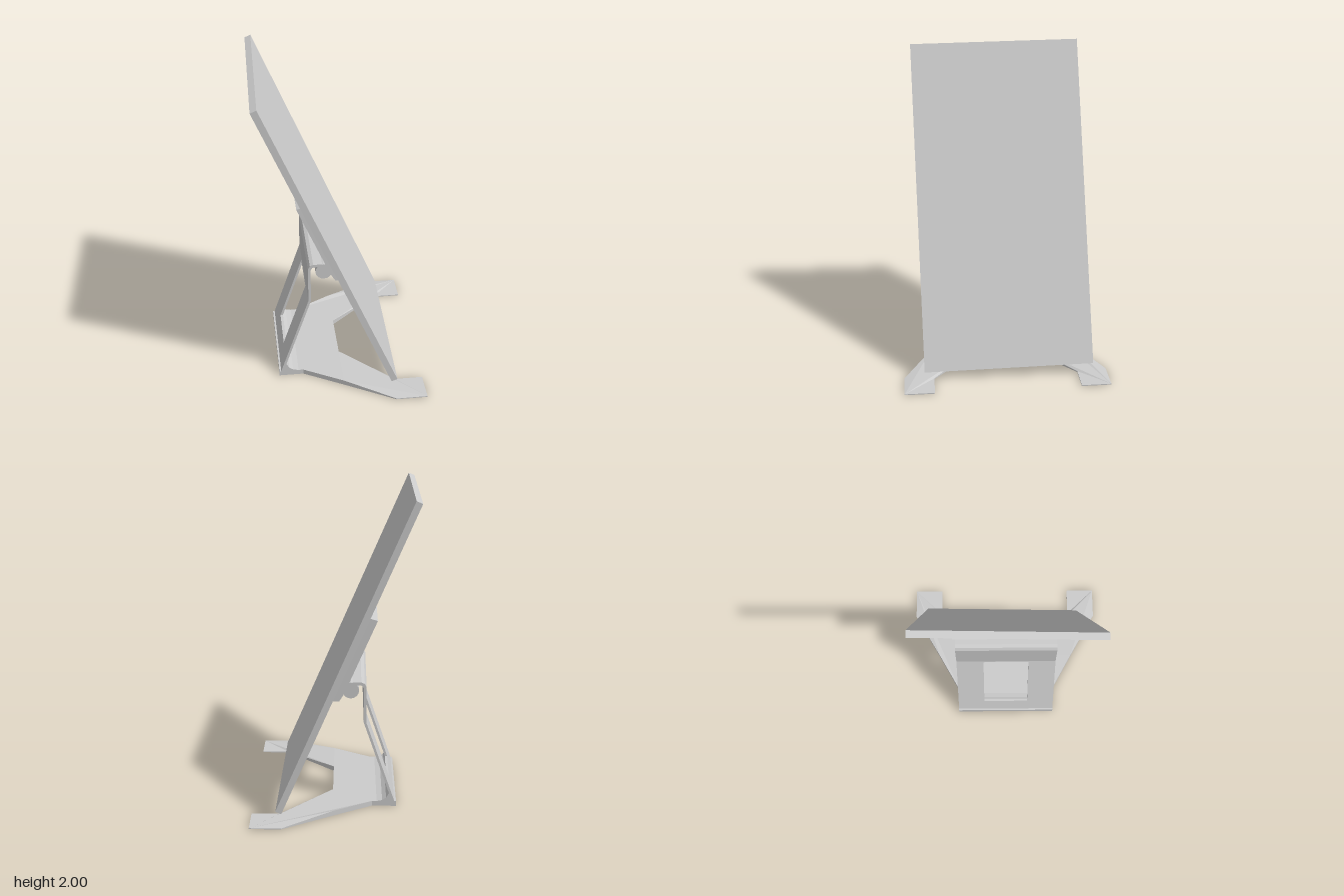
import * as THREE from 'three';

const material = new THREE.MeshStandardMaterial({ color: 0xcccccc, flatShading: true, side: THREE.DoubleSide });

function addMesh(parent, name, geometry) {
  const mesh = new THREE.Mesh(geometry, material);
  mesh.name = name;
  parent.add(mesh);
  return mesh;
}

const toShape = (points) => new THREE.Shape(points.map(([x, y]) => new THREE.Vector2(x, y)));

// Side profile (forward, up) swept across the stand's width
function sweep(points, width) {
  const geometry = new THREE.ExtrudeGeometry(toShape(points), { depth: width, bevelEnabled: false });
  return geometry.translate(0, 0, -width / 2);
}

export function createModel() {
  const model = new THREE.Group();
  model.name = 'displayOnStand';

  // Screen slab: leans back, with a slight roll
  const up = new THREE.Vector3(-0.377, 0.921, 0.103).normalize();
  const across = new THREE.Vector3(0.227, -0.014, 0.974).normalize();
  const normal = new THREE.Vector3().crossVectors(up, across).normalize();
  across.crossVectors(normal, up);
  const screen = addMesh(model, 'screen', new THREE.BoxGeometry(0.04, 2.096, 1.078));
  screen.quaternion.setFromRotationMatrix(new THREE.Matrix4().makeBasis(normal, up, across));
  screen.position.set(-0.085, 1.0275, 0.0575).addScaledVector(normal, -0.02);

  // Stand: local x points forward, z runs across
  const stand = new THREE.Group();
  stand.name = 'stand';
  stand.rotation.y = 0.244;
  stand.position.set(0.011, 0, 0.044);
  model.add(stand);

  const width = 0.66, half = width / 2, thick = 0.016;
  const kneeY = 0.575, rearX = -0.434, kneeX = -0.238;

  // Base plate with two splayed feet, thinning towards the toes
  const side = [[rearX, half], [-0.28, half], [-0.03, 0.47], [0.28, 0.648], [0.477, 0.648], [0.477, 0.46], [0.3, 0.46], [-0.03, 0.17]];
  const outline = [...side, ...side.slice().reverse().map(([x, z]) => [x, -z])];
  const base = new THREE.ExtrudeGeometry(toShape(outline), { depth: 1, bevelEnabled: false });
  base.rotateX(Math.PI / 2).translate(0, 1, 0);
  const p = base.attributes.position;
  for (let i = 0; i < p.count; i++) {
    const t = THREE.MathUtils.clamp((p.getX(i) + 0.03) / 0.31, 0, 1);
    p.setY(i, p.getY(i) * THREE.MathUtils.lerp(0.033, 0.006, t));
  }
  base.computeVertexNormals();
  addMesh(stand, 'base', base);

  // Slanted leg panel with a window
  const panel = toShape([[-half, 0], [half, 0], [half, kneeY], [-half, kneeY]]);
  const w = 0.15;
  panel.holes.push(toShape([[-w, 0.125], [-w, 0.565], [w, 0.565], [w, 0.125]]));
  const leg = new THREE.ExtrudeGeometry(panel, { depth: thick, bevelEnabled: false });
  leg.rotateY(-Math.PI / 2).translate(thick, 0, 0);
  const q = leg.attributes.position;
  for (let i = 0; i < q.count; i++) {
    q.setX(i, q.getX(i) + THREE.MathUtils.lerp(rearX, kneeX, q.getY(i) / kneeY));
  }
  leg.computeVertexNormals();
  addMesh(stand, 'leg', leg);

  // Curved fillet where leg meets base
  addMesh(stand, 'legFillet', sweep([
    [-0.425, 0.01], [-0.31, 0.01], [-0.31, 0.033], [-0.345, 0.04], [-0.37, 0.058], [-0.388, 0.09],
  ], width));

  // Upright neck folding over at the top
  addMesh(stand, 'neck', sweep([
    [kneeX, kneeY], [kneeX + thick, kneeY], [kneeX + thick, 0.8], [-0.212, 0.817], [-0.195, 0.822], [-0.15, 0.822],
    [-0.15, 0.84], [-0.205, 0.84], [-0.226, 0.832], [kneeX, 0.808],
  ], width));

  // Hinge barrel
  const hinge = addMesh(stand, 'hinge', new THREE.CylinderGeometry(0.052, 0.052, width, 16));
  hinge.rotation.x = Math.PI / 2;
  hinge.position.set(-0.14, 0.787, 0);

  // Mounting bracket on the back of the screen
  addMesh(stand, 'bracket', sweep([
    [-0.3, 1.235], [-0.1, 0.765], [-0.07, 0.715], [-0.015, 0.715], [-0.24, 1.255],
  ], width));

  return model;
}
